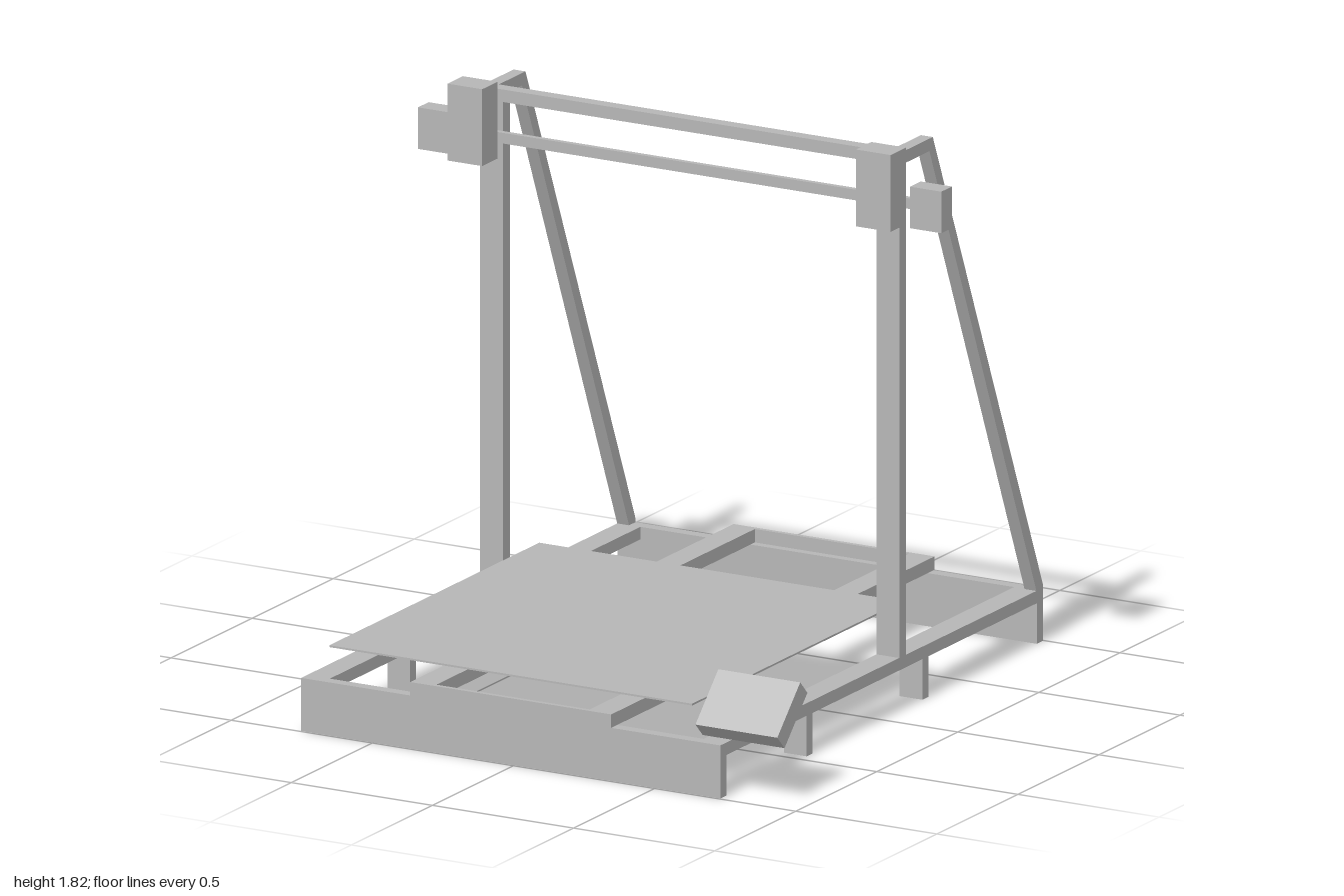
import * as THREE from 'three';

export function createModel() {
  const model = new THREE.Group();
  model.name = 'printerFrame';
  const grey = new THREE.MeshStandardMaterial({ color: 0xb6b6b6 });
  grey.name = 'grey';

  const add = (name, geometry) => {
    const mesh = new THREE.Mesh(geometry, grey);
    mesh.name = name;
    model.add(mesh);
    return mesh;
  };
  // Box given by its limits on each axis
  const box = (name, [x0, x1], [y0, y1], [z0, z1]) => {
    const mesh = add(name, new THREE.BoxGeometry(x1 - x0, y1 - y0, z1 - z0));
    mesh.position.set((x0 + x1) / 2, (y0 + y1) / 2, (z0 + z1) / 2);
    return mesh;
  };
  // The frame is mirrored about a plane slightly off centre
  const MID = -0.0125;
  const span = (side, a, b) => [MID + side * a, MID + side * b].sort((p, q) => p - q);

  // Base: end boards and the thin plates joining the middle rails
  box('frontBoard', [-0.755, 0.73], [0, 0.17], [0.958, 0.995]);
  box('backBoard', [-0.755, 0.73], [0, 0.17], [-0.995, -0.958]);
  box('frontRailPlate', [-0.285, 0.26], [0.17, 0.213], [0.98, 0.995]);
  box('backRailPlate', [-0.285, 0.26], [0.17, 0.213], [-1, -0.985]);

  // Profile of the sloping brace with its short level top (u runs backwards)
  const brace = new THREE.Shape([
    [0.15, 1.745], [0.295, 1.745], [0.955, 0.17], [0.995, 0.17],
    [0.995, 0.182], [0.316, 1.785], [0.15, 1.785],
  ].map(([u, y]) => new THREE.Vector2(u, y)));

  for (const side of [-1, 1]) {
    const label = side > 0 ? 'left' : 'right';
    const outer = span(side, 0.662, 0.7425);

    // Base rails and legs
    box(label + 'SideRail', outer, [0.13, 0.17], [-0.958, 0.958]);
    box(label + 'MiddleRail', span(side, 0.272, 0.356), [0.17, 0.213], [-1, 0.995]);
    box(label + 'FrontLeg', outer, [0, 0.13], [0.425, 0.462]);
    box(label + 'RearLeg', outer, [0, 0.13], [-0.29, -0.252]);

    // Upright and brace
    box(label + 'Post', outer, [0.17, 1.785], [-0.152, -0.109]);
    const geometry = new THREE.ExtrudeGeometry(brace, { depth: 0.042, bevelEnabled: false });
    geometry.rotateY(Math.PI / 2);
    add(label + 'Brace', geometry).position.x = span(side, 0.7005, 0.7425)[0];

    // Print head, nozzle and motor
    box(label + 'PrintHead', span(side, 0.662, 0.785), [1.572, 1.818], [-0.077, 0.018]);
    const nozzle = add(label + 'Nozzle', new THREE.CylinderGeometry(0.01, 0.003, 0.018, 16));
    nozzle.position.set(MID + side * 0.71, 1.563, -0.05);
    box(label + 'Motor', span(side, 0.816, 0.927), [1.572, 1.705], [-0.113, -0.047]);
  }

  // Cross members between the uprights
  box('topBeam', [-0.675, 0.65], [1.745, 1.785], [-0.152, -0.109]);
  box('gantryBar', [-0.83, 0.805], [1.622, 1.656], [-0.098, -0.08]);

  // Print bed
  box('bed', [-0.655, 0.63], [0.283, 0.289], [-0.3, 0.995]);

  // Tilted control panel at the front corner
  const panel = add('controlPanel', new THREE.BoxGeometry(0.29, 0.2, 0.063));
  panel.position.set(0.788, 0.273, 0.904);
  panel.rotation.x = -Math.PI / 4;

  return model;
}
